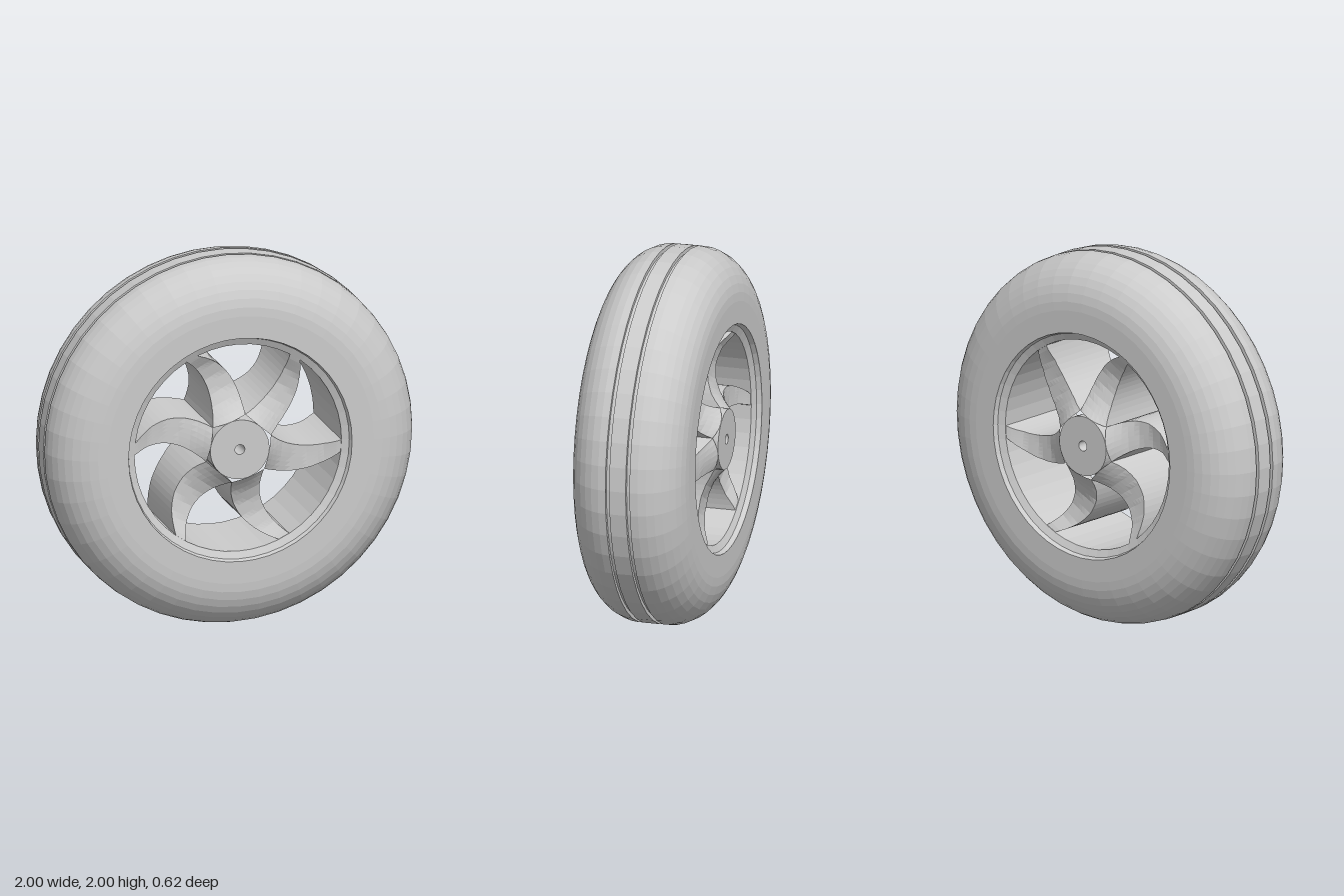
import * as THREE from 'three';

const SEGMENTS = 48;
const SPOKES = 6;
const material = new THREE.MeshStandardMaterial({ color: 0xcccccc, flatShading: true });

// Revolve a closed profile of [radius, z] points around the axle (z)
function revolve(name, profile) {
  const points = [...profile, profile[0]].map(([r, z]) => new THREE.Vector2(r, z));
  const geometry = new THREE.LatheGeometry(points, SEGMENTS).rotateX(Math.PI / 2);
  const mesh = new THREE.Mesh(geometry, material);
  mesh.name = name;
  return mesh;
}

// Complete half a profile (z >= 0, from the tread inward) with its mirror image
const mirrored = (half) => [...half.map(([r, z]) => [r, -z]).reverse(), ...half];

const polar = (r, degrees) => {
  const a = THREE.MathUtils.degToRad(degrees);
  return new THREE.Vector2(r * Math.cos(a), r * Math.sin(a));
};

// Spoke edge: an arc from the hub to the rim, bowed clockwise
function spokeEdge(hubAngle, rimAngle, bow) {
  const a = polar(0.186, hubAngle);
  const b = polar(0.572, rimAngle);
  const dir = b.clone().sub(a).normalize();
  const control = a.clone().add(b).multiplyScalar(0.5);
  control.add(new THREE.Vector2(dir.y, -dir.x).multiplyScalar(2 * bow));
  return new THREE.QuadraticBezierCurve(a, control, b);
}

// Dished wheel face: high at the hub, hollow halfway, high again at the rim
const DISH = [[0.16, 0.3], [0.2, 0.262], [0.25, 0.225], [0.32, 0.198],
  [0.4, 0.193], [0.48, 0.212], [0.565, 0.265]];
function dish(r) {
  if (r <= DISH[0][0]) return DISH[0][1];
  for (let i = 1; i < DISH.length; i++) {
    const [r0, z0] = DISH[i - 1], [r1, z1] = DISH[i];
    if (r <= r1) return THREE.MathUtils.mapLinear(r, r0, r1, z0, z1);
  }
  return DISH[DISH.length - 1][1];
}

// Spoke lofted through cross-sections from hub to rim
function spokeGeometry() {
  const STEPS = 14, ACROSS = 6;
  const lower = spokeEdge(18.5, 54, 0.075);
  const upper = spokeEdge(78.5, 60, 0.065);
  const ring = 2 * (ACROSS + 1);
  const positions = [], index = [];
  for (let s = 0; s <= STEPS; s++) {
    const q = lower.getPoint(s / STEPS), p = upper.getPoint(s / STEPS);
    for (let i = 0; i < ring; i++) {
      const front = i <= ACROSS;
      const v = q.clone().lerp(p, (front ? i : ring - 1 - i) / ACROSS);
      positions.push(v.x, v.y, (front ? 1 : -1) * dish(v.length()));
      if (s === STEPS) continue;
      const a = s * ring + i, b = s * ring + (i + 1) % ring;
      index.push(a, a + ring, b + ring, a, b + ring, b);
    }
  }
  const geometry = new THREE.BufferGeometry();
  geometry.setAttribute('position', new THREE.Float32BufferAttribute(positions, 3));
  geometry.setIndex(index);
  geometry.computeVertexNormals();
  return geometry;
}

export function createModel() {
  const model = new THREE.Group();
  model.name = 'wheel';
  const wheel = new THREE.Group();
  wheel.name = 'wheelAssembly';
  wheel.position.y = 1;
  model.add(wheel);

  // Tire: centre band, groove, rounded shoulder, flat sidewall
  const tire = [[1, 0.045], [0.98, 0.045], [0.98, 0.066]];
  for (let i = 0; i <= 9; i++) {
    const a = (i / 9) * Math.PI / 2;
    tire.push([0.73 + 0.27 * Math.cos(a), 0.066 + 0.244 * Math.sin(a)]);
  }
  tire.push([0.61, 0.31]);
  wheel.add(revolve('tire', mirrored(tire)));

  // Rim: barrel with a bevelled lip on both sides
  wheel.add(revolve('rim', mirrored([[0.62, 0.305], [0.61, 0.305], [0.602, 0.283], [0.565, 0.265]])));

  // Hub with axle hole
  wheel.add(revolve('hub', mirrored([[0.161, 0.3], [0.027, 0.3]])));

  // Curved spokes
  const geometry = spokeGeometry();
  const spokes = new THREE.Group();
  spokes.name = 'spokes';
  for (let k = 0; k < SPOKES; k++) {
    const spoke = new THREE.Mesh(geometry, material);
    spoke.name = 'spoke';
    spoke.rotation.z = (k / SPOKES) * Math.PI * 2;
    spokes.add(spoke);
  }
  wheel.add(spokes);
  return model;
}
